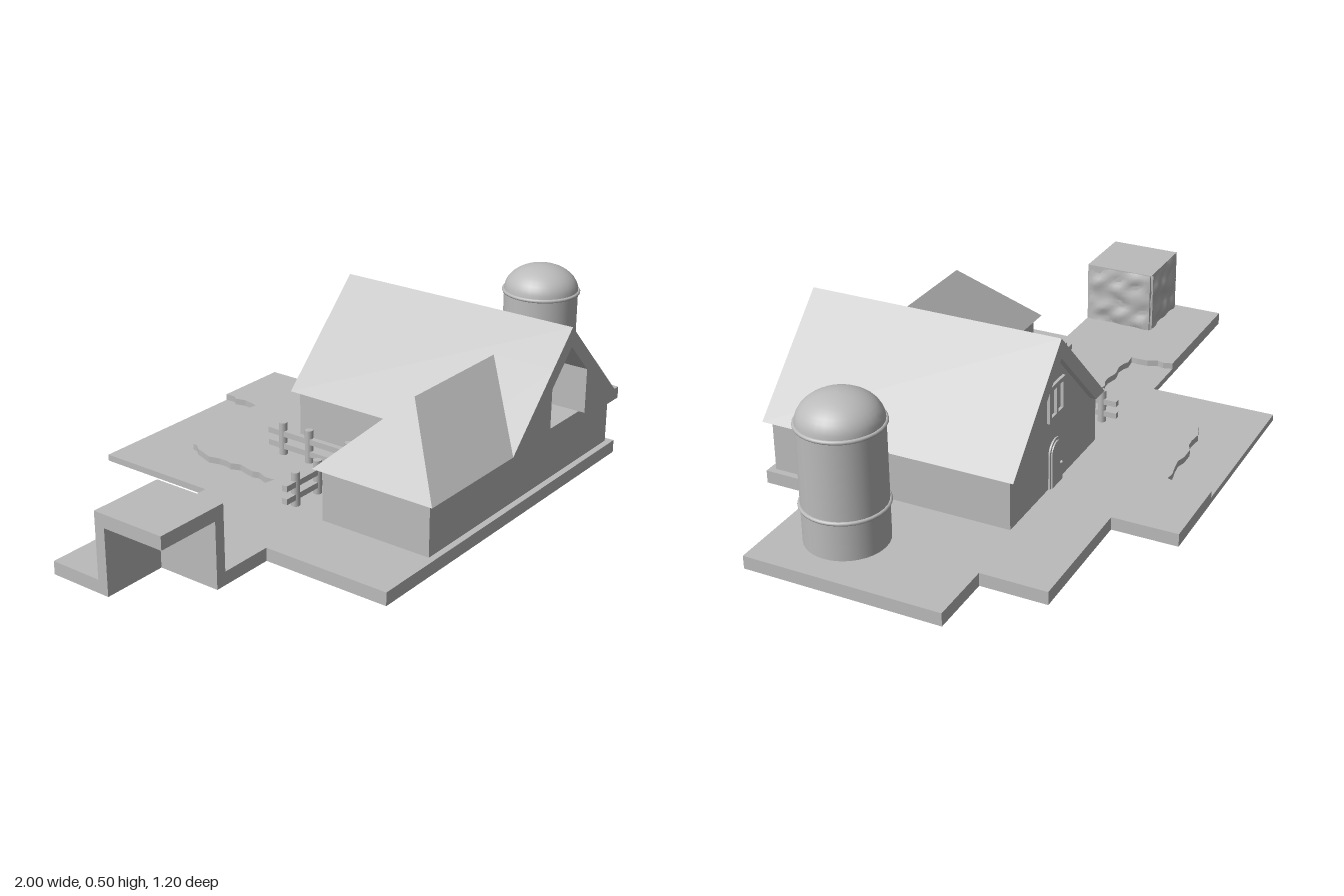
import * as THREE from 'three';
import { ConvexGeometry } from 'three/addons/geometries/ConvexGeometry.js';

export function createModel() {
  const model = new THREE.Group();
  const grey = new THREE.MeshStandardMaterial({ color: 0xbbbbbb });
  grey.name = 'plain grey';

  const add = (name, geo, x = 0, y = 0, z = 0, parent = model) => {
    const m = new THREE.Mesh(geo, grey);
    m.name = name;
    m.position.set(x, y, z);
    parent.add(m);
    return m;
  };
  const box = (name, x0, x1, y0, y1, z0, z1, parent) =>
    add(name, new THREE.BoxGeometry(x1 - x0, y1 - y0, z1 - z0),
      (x0 + x1) / 2, (y0 + y1) / 2, (z0 + z1) / 2, parent);
  const outline = (pts) => new THREE.Shape(pts.map(([a, b]) => new THREE.Vector2(a, b)));
  const extrude = (shape, depth, holes = []) => {
    shape.holes.push(...holes.map(outline));
    return new THREE.ExtrudeGeometry(shape, { depth, bevelEnabled: false, curveSegments: 12 });
  };
  // Floor-plan slab: points are x, z
  const slab = (name, pts, y, h, holes = []) => {
    const flip = (list) => list.map(([x, z]) => [x, -z]);
    add(name, extrude(outline(flip(pts)), h, holes.map(flip)).rotateX(-Math.PI / 2), 0, y, 0);
  };

  // Ground with a sunken pond and a wavy bank
  const rest = [[0.4, -0.6], [0.4, -0.4], [0.8, -0.4], [0.8, -0.2], [1, -0.2], [1, 0.4], [0.6, 0.4],
    [0.6, 0.6], [-0.6, 0.6], [-0.6, 0.2], [-0.8, 0.2], [-0.8, 0], [-1, 0], [-1, -0.2]];
  const cellar = [[0.2, 0.1], [0.4, 0.1], [0.4, 0.4], [0.2, 0.4]];
  const bankPath = [[-0.56, -0.2], [-0.54, -0.06], [-0.4, -0.055], [-0.26, -0.06], [-0.245, -0.2],
    [-0.25, -0.34], [-0.2, -0.435], [-0.04, -0.455], [0.14, -0.46], [0.15, -0.6]];
  const bank = [];
  for (let i = 0; i < bankPath.length - 1; i++) {
    for (let k = 0; k < 5; k++) {
      const t = k / 5, n = i * 5 + k, [a, b] = [bankPath[i], bankPath[i + 1]];
      const w = n ? 0.006 : 0;
      bank.push([a[0] + (b[0] - a[0]) * t + w * Math.sin(n * 2.3),
        a[1] + (b[1] - a[1]) * t + w * Math.sin(n * 1.7 + 1)]);
    }
  }
  bank.push([0.15, -0.6]);
  slab('groundBase', [[-0.4, -0.2], [-0.4, -0.6], ...rest], 0, 0.02, [cellar]);
  slab('groundTop', [...bank, ...rest], 0.02, 0.02, [cellar]);

  // Raised ledge with two rocky faces
  const ledge = new THREE.Group();
  ledge.name = 'ledge';
  model.add(ledge);
  box('ledgeTop', -1, -0.767, 0.2, 0.24, -0.033, 0.2, ledge);
  box('ledgeSideWall', -0.8, -0.767, 0.03, 0.2, -0.033, 0.2, ledge);
  box('ledgeBackWall', -1, -0.8, 0.03, 0.2, -0.033, 0, ledge);
  const rock = () => {
    const g = new THREE.PlaneGeometry(0.24, 0.2, 16, 14), p = g.attributes.position;
    for (let i = 0; i < p.count; i++) {
      const x = p.getX(i), y = p.getY(i);
      const edge = Math.min(1, (0.12 - Math.abs(x)) * 40, (0.1 - y) * 40);
      p.setZ(i, -0.006 + edge * (0.006 + 0.003 * Math.sin(x * 70 + Math.sin(y * 60) * 2)
        + 0.004 * Math.sin(y * 75 + x * 20)));
    }
    g.computeVertexNormals();
    return g;
  };
  add('rockSide', rock(), -0.762, 0.14, 0.08, ledge).rotation.y = Math.PI / 2;
  add('rockBack', rock(), -0.88, 0.14, -0.038, ledge).rotation.y = Math.PI;

  // House walls
  slab('houseWalls', [[0.02, -0.18], [0.58, -0.18], [0.58, 0.58], [-0.38, 0.58], [-0.38, 0.22], [0.02, 0.22]],
    0.04, 0.16,
    [[[0.06, -0.14], [0.54, -0.14], [0.54, 0.54], [-0.34, 0.54], [-0.34, 0.26], [0.06, 0.26]]]);
  add('backGable', extrude(outline([[0.02, 0.2], [0.58, 0.2], [0.3, 0.48]]), 0.04), 0, 0, -0.18);

  // Main roof, wing roof and the open front gable
  add('mainRoof', extrude(outline([[0, 0.2], [0.06, 0.2], [0.3, 0.44], [0.54, 0.2], [0.6, 0.2], [0.3, 0.5]]), 0.8),
    0, 0, -0.2);
  add('wingRoof', new ConvexGeometry([[-0.4, 0.2, 0.2], [-0.4, 0.2, 0.6], [0, 0.2, 0.6], [0, 0.2, 0.2],
    [-0.2, 0.4, 0.4], [0.2, 0.4, 0.4]].map((p) => new THREE.Vector3(...p))));
  for (const s of [-1, 1]) {
    add('frontGableSide', extrude(outline([[0.3 + s * 0.3, 0.2], [0.3 + s * 0.1, 0.2], [0.3 + s * 0.1, 0.4]]), 0.2),
      0, 0, 0.4);
  }

  // Two-pane windows and arched door on the back walls
  const pane = (x0, x1, h) => [[x0, -h], [x1, -h], [x1, h], [x0, h]];
  for (const [x, y, z] of [[0.3, 0.31, -0.18], [-0.09, 0.13, 0.22]]) {
    add('windowFrame', extrude(outline(pane(-0.05, 0.05, 0.055)), 0.009,
      [pane(-0.036, -0.006, 0.041), pane(0.006, 0.036, 0.041)]), x, y, z - 0.009);
  }
  const arch = (r, h) => {
    const s = new THREE.Shape();
    s.moveTo(-r, 0);
    s.lineTo(r, 0);
    s.lineTo(r, h);
    s.absarc(0, h, r, 0, Math.PI, false);
    return s;
  };
  add('doorFrame', extrude(arch(0.042, 0.105), 0.005), 0.3, 0.04, -0.185);
  add('door', extrude(arch(0.034, 0.105), 0.004), 0.3, 0.04, -0.189);
  add('doorKnob', new THREE.SphereGeometry(0.005, 10, 8), 0.278, 0.1, -0.191);

  // Silo with a domed cap and two bands
  const profile = [[0.12, 0.04], [0.12, 0.4]].map(([r, y]) => new THREE.Vector2(r, y));
  const dome = [];
  for (let i = 0; i <= 10; i++) {
    const a = (i / 10) * Math.PI / 2;
    dome.push(new THREE.Vector2(0.12 * Math.cos(a), 0.4 + 0.082 * Math.sin(a)));
  }
  add('siloBody', new THREE.LatheGeometry(profile, 32), 0.8, 0, 0.2);
  add('siloDome', new THREE.LatheGeometry(dome, 32), 0.8, 0, 0.2);
  for (const y of [0.155, 0.396]) {
    add('siloBand', new THREE.TorusGeometry(0.121, 0.006, 8, 32).rotateX(Math.PI / 2), 0.8, y, 0.2);
  }

  // Corner fence
  const fence = new THREE.Group();
  fence.name = 'fence';
  model.add(fence);
  for (const y of [0.07, 0.11]) {
    box('fenceRail', -0.4, -0.1, y - 0.009, y + 0.009, 0.091, 0.109, fence);
    box('fenceRail', -0.109, -0.091, y - 0.009, y + 0.009, -0.2, 0.109, fence);
  }
  for (const [x, z] of [[-0.35, 0.1], [-0.25, 0.1], [-0.1, 0.1], [-0.1, -0.05], [-0.1, -0.15]]) {
    add('fencePost', new THREE.CylinderGeometry(0.013, 0.013, 0.11, 10), x, 0.09, z, fence);
  }
  return model;
}
